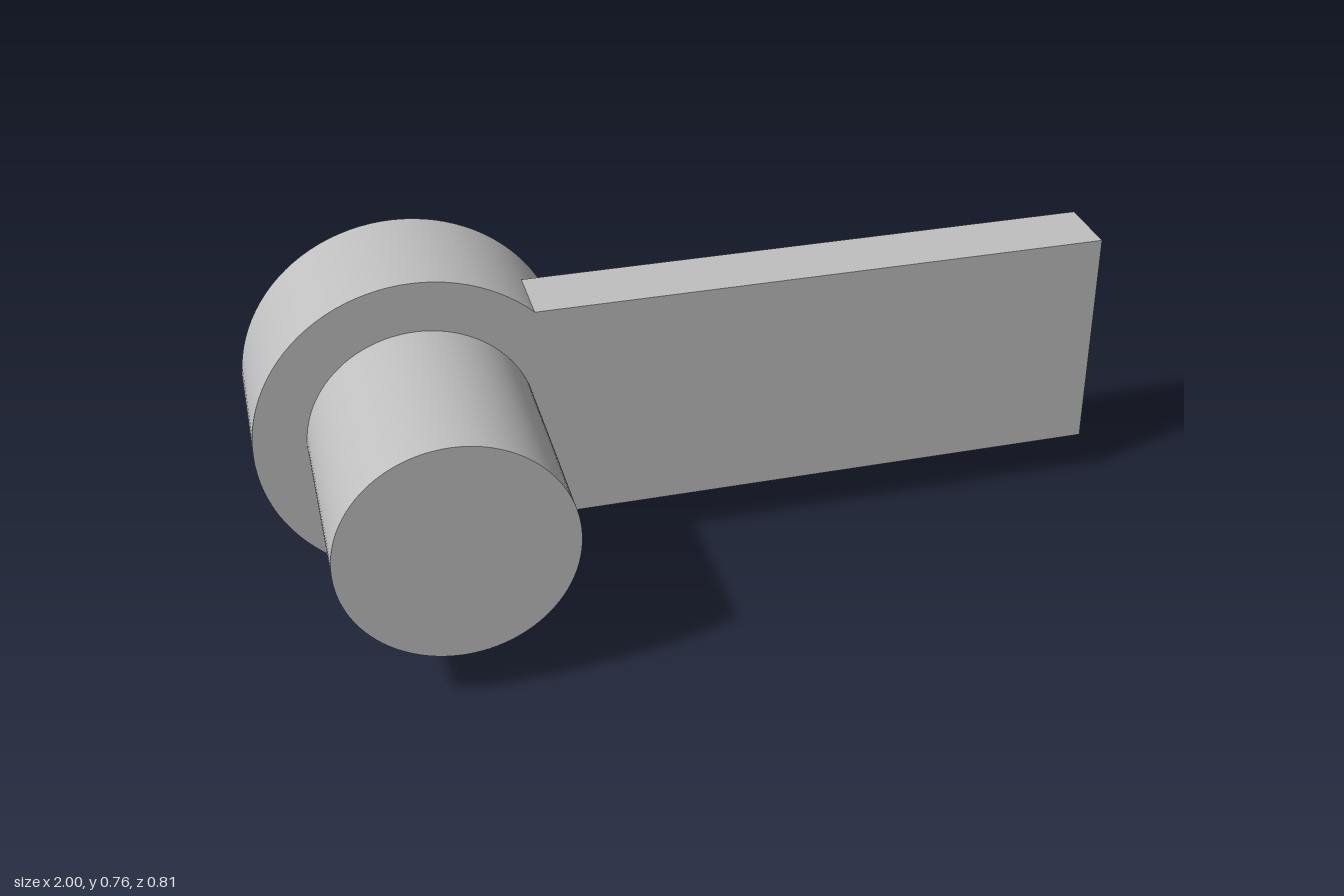
import * as THREE from 'three';

export function createModel() {
  const group = new THREE.Group();
  group.name = 'crankArm';
  const grey = new THREE.MeshStandardMaterial({ color: 0xbfbfbf });
  grey.name = 'plain grey';

  const cx = -0.622, cy = 0.378;   // shared axis of hub and pin
  const hubRadius = 0.378, pinRadius = 0.259;
  const back = -0.403, barBack = -0.242, hubFront = -0.082, front = 0.403;

  const add = (name, geometry, z) => {
    const mesh = new THREE.Mesh(geometry, grey);
    mesh.name = name;
    mesh.position.set(cx, cy, z);
    group.add(mesh);
  };

  // Round parts lying along z
  const disc = (name, radius, z0, z1) => add(
    name,
    new THREE.CylinderGeometry(radius, radius, z1 - z0, 96).rotateX(Math.PI / 2),
    (z0 + z1) / 2
  );
  disc('hub', hubRadius, back, hubFront);
  disc('pin', pinRadius, hubFront, front);

  // Flat bar whose inner end follows the curve of the hub
  const h = 0.27, end = 1 - cx, r = hubRadius - 0.003;
  const a = Math.asin(h / r);
  const outline = new THREE.Shape();
  outline.moveTo(r * Math.cos(a), -h);
  outline.lineTo(end, -h);
  outline.lineTo(end, h);
  outline.lineTo(r * Math.cos(a), h);
  outline.absarc(0, 0, r, a, -a, true);
  add('bar', new THREE.ExtrudeGeometry(outline, {
    depth: hubFront - barBack, bevelEnabled: false, curveSegments: 32
  }), barBack);

  return group;
}
